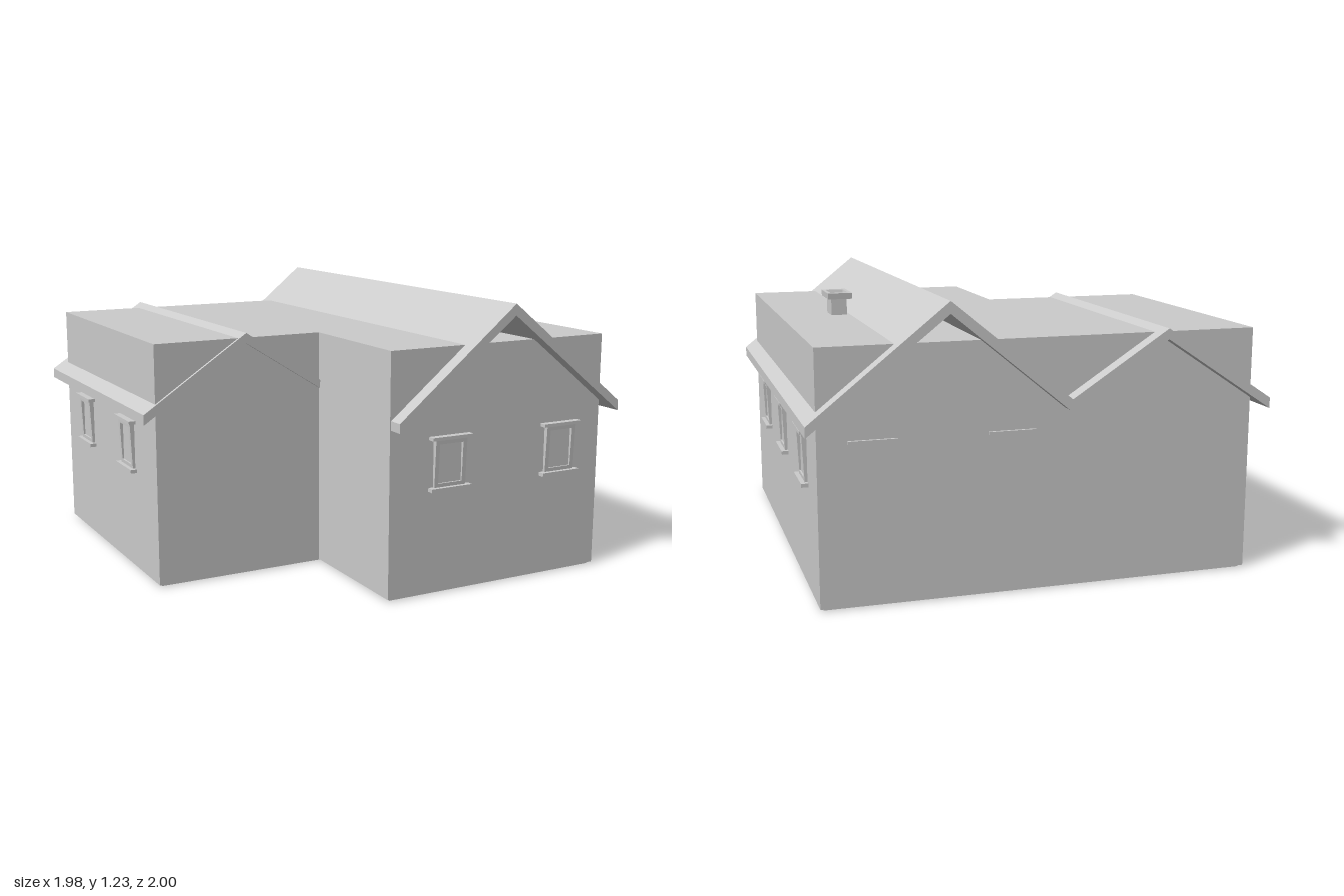
import * as THREE from 'three';

const material = new THREE.MeshStandardMaterial({ color: 0xcccccc, flatShading: true });

function add(parent, name, geometry, x = 0, y = 0, z = 0) {
  const mesh = new THREE.Mesh(geometry, material);
  mesh.name = name;
  mesh.position.set(x, y, z);
  parent.add(mesh);
  return mesh;
}

const shapeOf = (points) => new THREE.Shape(points.map(([x, y]) => new THREE.Vector2(x, y)));
const extrude = (shape, depth) => new THREE.ExtrudeGeometry(shape, { depth, bevelEnabled: false });

// L-shaped plan, raised from y0 to y1; inset pulls in every side
function planSlab(y0, y1, inset) {
  const e = 0.933 - inset, nx = -0.155 + inset, nz = 0.317 - inset;
  const plan = shapeOf([[-e, -nz], [nx, -nz], [nx, -e], [e, -e], [e, e], [-e, e]]);
  return extrude(plan, y1 - y0).rotateX(-Math.PI / 2).translate(0, y0, 0);
}

function rectangle(w, h) {
  return shapeOf([[-w / 2, -h / 2], [w / 2, -h / 2], [w / 2, h / 2], [-w / 2, h / 2]]);
}

// Window facing +z, its origin on the wall plane
function makeWindow() {
  const group = new THREE.Group();
  group.name = 'window';
  add(group, 'lintel', new THREE.BoxGeometry(0.2, 0.014, 0.04), 0, 0.683, 0.012);
  add(group, 'sill', new THREE.BoxGeometry(0.2, 0.016, 0.04), 0, 0.463, 0.01);
  const ring = rectangle(0.155, 0.208);
  ring.holes.push(rectangle(0.117, 0.17));
  const frame = add(group, 'windowFrame', extrude(ring, 0.025), 0, 0.573, -0.009);
  frame.rotation.x = 0.045; // leans out slightly at the top
  add(group, 'windowPane', new THREE.BoxGeometry(0.12, 0.174, 0.01), 0, 0.573, 0);
  return group;
}

export function createModel() {
  const house = new THREE.Group();
  house.name = 'house';

  add(house, 'floor', planSlab(0, 0.012, 0.015));
  add(house, 'walls', planSlab(0.01, 1.063, 0));

  // Double gable behind, with a valley between the ridges
  add(house, 'doubleGableRoof', extrude(shapeOf([
    [-0.99, 0.77], [-0.99, 0.725], [-0.515, 1.04], [-0.088, 0.771], [0.41, 1.18],
    [0.985, 0.725], [0.985, 0.77], [0.41, 1.23], [-0.1, 0.815], [-0.515, 1.085],
  ].reverse()), 1.33), 0, 0, -1);

  // Single gable over the front wing
  add(house, 'frontGableRoof', extrude(shapeOf([
    [-0.15, 0.775], [-0.15, 0.735], [0.41, 1.18], [0.985, 0.725], [0.985, 0.77], [0.41, 1.23],
  ]), 0.67), 0, 0, 0.33);

  // Chimney: square profile with a wider cap and a tapering flue
  const profile = [[0.056, 0.95], [0.056, 1.138], [0.085, 1.138], [0.0875, 1.165],
    [0.063, 1.165], [0.038, 1.08], [0, 1.08]]
    .map(([r, y]) => new THREE.Vector2(r * Math.SQRT2, y));
  const chimney = new THREE.LatheGeometry(profile, 4).rotateY(Math.PI / 4).scale(0.63, 1, 1);
  add(house, 'chimney', chimney.toNonIndexed(), 0.669, 0, 0.016);

  // Windows as [x, z, turn]
  const right = Math.PI / 2;
  const places = [[0.135, 0.933, 0], [0.71, 0.933, 0]];
  for (const z of [0.5, -0.043, -0.613]) places.push([0.933, z, right]);
  for (const z of [-0.033, -0.61]) places.push([-0.933, z, -right]);
  for (const [x, z, turn] of places) {
    const pane = makeWindow();
    pane.position.set(x, 0, z);
    pane.rotation.y = turn;
    house.add(pane);
  }

  // Only slim lintels show on the back wall
  for (const x of [0.135, 0.71]) {
    add(house, 'backLintel', new THREE.BoxGeometry(0.2, 0.013, 0.03), x, 0.683, -0.93);
  }
  return house;
}
